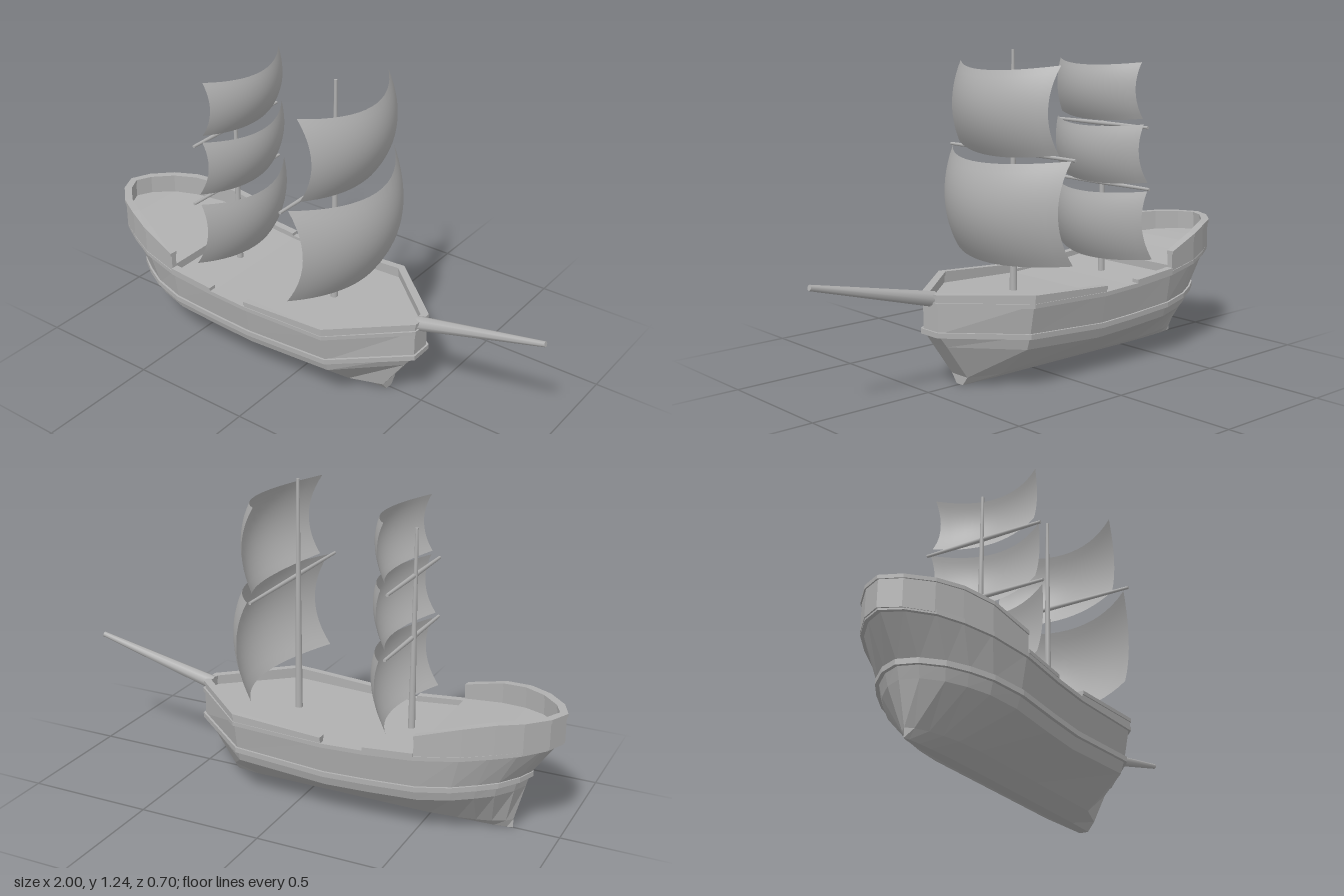
import * as THREE from 'three';

const grey = new THREE.MeshStandardMaterial({ color: 0xb0b0b0, side: THREE.DoubleSide });
grey.name = 'plain grey';

// Half outline of the hull at its widest, from stern to bow: x, z
const PLAN = [[-1, 0], [-0.965, 0.075], [-0.89, 0.15], [-0.8, 0.2], [-0.69, 0.245],
  [-0.52, 0.277], [-0.32, 0.277], [-0.15, 0.277], [0.22, 0.277], [0.485, 0.04]];
const N = PLAN.length, LOOP = 2 * N - 1;
const half = k => (k < N ? k : LOOP - k);

// Heights along the hull, one per outline point
const WALE = [0.24, 0.24, 0.235, 0.23, 0.222, 0.21, 0.197, 0.19, 0.212, 0.225];
const EDGE = [0.39, 0.388, 0.383, 0.375, 0.362, 0.345, 0.327, 0.32, 0.333, 0.338];
const RAIL = [0.5, 0.5, 0.499, 0.496, 0.477, 0.43, 0.345, 0.348, 0.37, 0.372];

// Closed horizontal ring: stern and bow ends, half width, bow half width, height
function ring(stern, bow, width, bowWidth, height) {
  const pts = [];
  for (let i = 0; i < LOOP; i++) {
    const k = half(i), [px, pz] = PLAN[k];
    let x = px;
    if (px < -0.52) x = -0.52 + (px + 0.52) * (stern + 0.52) / -0.48;
    if (px > 0.22) x = bow;
    const z = k === N - 1 ? bowWidth : pz * width / 0.277;
    pts.push(new THREE.Vector3(x, height(k), i < N ? z : -z));
  }
  return pts;
}

// Faceted skin over rows of points
function loft(rows, closed) {
  const p = [];
  for (let i = 0; i + 1 < rows.length; i++) {
    const a = rows[i], b = rows[i + 1], n = a.length;
    for (let j = 0; j < (closed ? n : n - 1); j++) {
      const k = (j + 1) % n;
      for (const v of [a[j], a[k], b[k], a[j], b[k], b[j]]) p.push(v.x, v.y, v.z);
    }
  }
  const g = new THREE.BufferGeometry();
  g.setAttribute('position', new THREE.Float32BufferAttribute(p, 3));
  g.computeVertexNormals();
  return g;
}

// Rectangular section carried along part of a ring
function sweep(path, from, to, out, inner, low, high) {
  const rows = [];
  for (let s = from; s <= to; s++) {
    const i = s % LOOP, k = half(i), c = path[i];
    const t = path[(i + 1) % LOOP].clone().sub(path[(i + LOOP - 1) % LOOP]);
    const n = new THREE.Vector3(-t.z, 0, t.x).normalize();
    const at = (d, y) => new THREE.Vector3(c.x + n.x * d, y, c.z + n.z * d);
    rows.push([at(out, high(k)), at(out, low(k)), at(-inner, low(k)), at(-inner, high(k))]);
  }
  if (to - from < LOOP) {
    const cap = r => {
      const m = r[0].clone().add(r[2]).multiplyScalar(0.5);
      return [m, m, m, m];
    };
    rows.unshift(cap(rows[0]));
    rows.push(cap(rows[rows.length - 1]));
  }
  return loft(rows, true);
}

// Tapered round bar between two points
function bar(a, b, ra, rb, sides = 12) {
  const d = new THREE.Vector3().subVectors(b, a);
  const g = new THREE.CylinderGeometry(rb, ra, d.length(), sides);
  g.applyQuaternion(new THREE.Quaternion().setFromUnitVectors(new THREE.Vector3(0, 1, 0), d.normalize()));
  return g.translate((a.x + b.x) / 2, (a.y + b.y) / 2, (a.z + b.z) / 2);
}

// Wind-filled square sail, top and bottom corners given as x, y
function sail([xt, yt], [xb, yb], halfWidth, depthTop, depthBottom, bulge, sag) {
  const g = new THREE.PlaneGeometry(2, 1, 16, 12), p = g.attributes.position;
  const mix = THREE.MathUtils.lerp;
  for (let i = 0; i < p.count; i++) {
    const u = p.getX(i), v = 0.5 - p.getY(i);
    const belly = 1 - u * u, puff = 4 * v * (1 - v);
    p.setXYZ(i, mix(xt, xb, v) + bulge * puff + mix(depthTop, depthBottom, v) * belly,
      mix(yt, yb, v) - sag * belly, -0.012 - u * halfWidth * (1 - 0.035 * puff));
  }
  g.computeVertexNormals();
  return g;
}

export function createModel() {
  const ship = new THREE.Group();
  ship.name = 'sailingShip';
  const add = (name, geometry) => {
    const m = new THREE.Mesh(geometry, grey);
    m.name = name;
    ship.add(m);
  };
  const V = (x, y, z) => new THREE.Vector3(x, y, z);

  // Hull from keel to deck edge
  const waleRing = ring(-0.875, 0.485, 0.25, 0.042, k => WALE[k]);
  const edgeRing = ring(-0.98, 0.485, 0.272, 0.042, k => EDGE[k]);
  const railRing = ring(-0.994, 0.485, 0.277, 0.042, k => RAIL[k]);
  add('hull', loft([
    ring(-0.82, 0.35, 0, 0, () => 0),
    ring(-0.82, 0.35, 0.022, 0.018, () => 0),
    ring(-0.82, 0.35, 0.09, 0.045, () => 0.035),
    ring(-0.86, 0.445, 0.233, 0.045, k => WALE[k] - 0.055),
    waleRing, edgeRing,
  ], true));

  // Raised bands round the hull
  add('lowerWale', sweep(waleRing, 0, LOOP, 0.01, 0.01, k => WALE[k] - 0.012, k => WALE[k] + 0.008));
  add('upperWale', sweep(edgeRing, 0, LOOP, 0.008, 0.015, k => EDGE[k] - 0.012, k => EDGE[k] + 0.004));

  // Bulwarks with cap rails; the waist is open at both sides
  const waistRail = k => (k === 5 ? 0.362 : RAIL[k]);
  const parts = [['stern', 14, 24, k => RAIL[k]], ['leftWaist', 5, 6, waistRail],
    ['rightWaist', 13, 14, waistRail], ['bow', 7, 12, k => RAIL[k]]];
  for (const [name, from, to, top] of parts) {
    add(name + 'Bulwark', sweep(railRing, from, to, 0, 0.022, k => EDGE[k] - 0.005, k => top(k) - 0.012));
    add(name + 'Rail', sweep(railRing, from, to, 0.005, 0.026, k => top(k) - 0.014, top));
  }

  // Stepped deck: quarterdeck, step, main deck
  const deckRow = (k, y) => {
    const x = k === 0 ? -0.985 : Math.min(edgeRing[k].x, 0.478), z = Math.max(edgeRing[k].z - 0.008, 0);
    return [V(x, y, -z), V(x, y, z)];
  };
  const deckRows = [0.425, 0.424, 0.42, 0.412, 0.395, 0.37].map((y, k) => deckRow(k, y));
  for (let k = 5; k < N; k++) deckRows.push(deckRow(k, EDGE[k] - 0.008));
  add('deck', loft(deckRows.map(r => r.reverse()), false));

  // Bowsprit, masts and yards
  add('bowsprit', bar(V(0.47, 0.348, 0), V(0.997, 0.473, 0), 0.029, 0.011, 8));
  add('foreMast', bar(V(0.08, 0.3, 0), V(0.08, 1.24, 0), 0.015, 0.006));
  add('aftMast', bar(V(-0.4, 0.3, 0), V(-0.4, 1.11, 0), 0.014, 0.006));
  for (const [name, x, y, w] of [['foreYard', 0.095, 0.856, 0.352],
    ['aftLowerYard', -0.395, 0.69, 0.262], ['aftUpperYard', -0.395, 0.93, 0.25]]) {
    for (const s of [-1, 1]) add(name, bar(V(x, y, 0), V(x, y, s * w), 0.009, 0.006, 8));
  }

  // Sails
  add('foreLowerSail', sail([0.11, 0.855], [0.1, 0.47], 0.335, 0.15, 0.115, 0.06, 0.022));
  add('foreUpperSail', sail([0.11, 1.193], [0.12, 0.872], 0.28, 0.12, 0.07, 0.05, 0.023));
  add('aftLowerSail', sail([-0.375, 0.685], [-0.41, 0.41], 0.257, 0.095, 0.08, 0.035, 0.016));
  add('aftMiddleSail', sail([-0.37, 0.945], [-0.395, 0.715], 0.24, 0.09, 0.07, 0.03, 0.014));
  add('aftUpperSail', sail([-0.37, 1.183], [-0.38, 0.965], 0.225, 0.085, 0.06, 0.03, 0.014));

  return ship;
}
